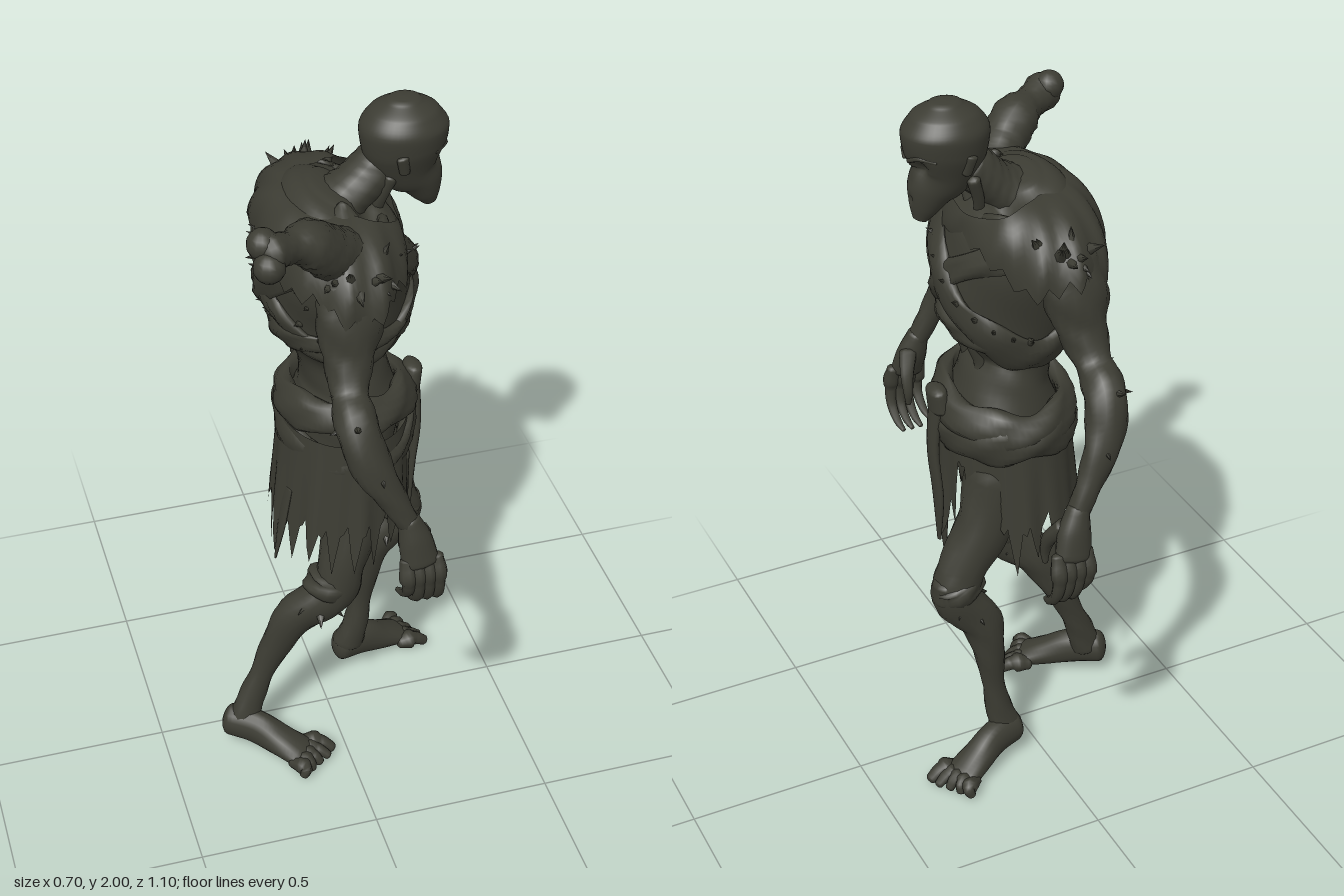
import * as THREE from 'three';

const hide = new THREE.MeshStandardMaterial({ color: 0x3c3c33, side: THREE.DoubleSide });
hide.name = 'dark olive hide';
const V = (x, y, z) => new THREE.Vector3(x, y, z);

export function createModel() {
  const model = new THREE.Group();
  model.name = 'witheredWalker';
  let seed = 7;
  const rnd = () => (seed = (seed * 16807) % 2147483647) / 2147483647;

  const add = (name, geometry, parent = model) => {
    const m = new THREE.Mesh(geometry, hide);
    m.name = name;
    parent.add(m);
    return m;
  };

  // Surface from a rule; either direction may be closed.
  function grid(nu, nv, fn, closeU, closeV) {
    const pos = [], idx = [];
    const cu = closeU ? nu : nu + 1, cv = closeV ? nv : nv + 1;
    for (let i = 0; i < cu; i++) for (let j = 0; j < cv; j++) pos.push(...fn(i / nu, j / nv, i).toArray());
    for (let i = 0; i < nu; i++) for (let j = 0; j < nv; j++) {
      const a = i * cv + j, b = i * cv + (j + 1) % cv;
      const c = ((i + 1) % cu) * cv + (j + 1) % cv, d = ((i + 1) % cu) * cv + j;
      idx.push(a, b, c, a, c, d);
    }
    const g = new THREE.BufferGeometry();
    g.setAttribute('position', new THREE.Float32BufferAttribute(pos, 3));
    g.setIndex(idx);
    g.computeVertexNormals();
    return g;
  }

  // Round-ended sweep through points [x, y, z, radius, second radius].
  function limb(name, pts, { ref = V(1, 0, 0), sides = 16, lump = 0, cap = 0.6, parent = model, deform } = {}) {
    const path = new THREE.CatmullRomCurve3(pts.map(p => V(p[0], p[1], p[2])));
    const radii = new THREE.CatmullRomCurve3(pts.map(p => V(p[3], p[4] ?? p[3], 0)));
    const n = (pts.length - 1) * 6, caps = 4, total = n + caps * 2;
    return add(name, grid(total, sides, (u, v, i) => {
      const k = THREE.MathUtils.clamp(i - caps, 0, n) / n;
      const over = i < caps ? i - caps : Math.max(0, i - caps - n);
      const t = path.getTangent(k), r = radii.getPoint(k);
      const a = ref.clone().addScaledVector(t, -ref.dot(t)).normalize();
      const b = t.clone().cross(a), turn = over / caps * Math.PI / 2;
      const w = v * Math.PI * 2, s = Math.cos(turn) * (1 + lump * Math.sin(3 * w + k * 17) * Math.sin(k * 23 + w));
      const p = path.getPoint(k).addScaledVector(t, Math.sin(turn) * Math.min(r.x, r.y) * cap)
        .addScaledVector(a, Math.cos(w) * r.x * s).addScaledVector(b, Math.sin(w) * r.y * s);
      if (deform) deform(p);
      return p;
    }, false, true), parent);
  }

  function thorn(p, dir, size, parent = model) {
    const m = add('thorn', new THREE.ConeGeometry(size * 0.32, size, 6), parent);
    m.position.copy(p);
    m.quaternion.setFromUnitVectors(V(0, 1, 0), dir.clone().normalize());
  }
  const falloff = (p, x, y, z, size) => Math.exp(-p.distanceToSquared(V(x, y, z)) / (size * size));

  // Torso: height, centre x, depth radius, width radius
  const profile = [
    [1.0, 0.045, 0.13, 0.17], [1.1, 0.05, 0.145, 0.17], [1.2, 0.045, 0.12, 0.145], [1.27, 0.03, 0.11, 0.13],
    [1.35, 0.03, 0.155, 0.17], [1.48, 0.025, 0.19, 0.2], [1.6, 0.012, 0.18, 0.24],
    [1.68, 0, 0.155, 0.255], [1.735, 0, 0.11, 0.18], [1.765, 0.01, 0.06, 0.1],
  ];
  limb('torso', profile.map(([y, x, rx, rz]) => [x, y, 0, rx, rz]), {
    sides: 40, lump: 0.03, cap: 0.2, deform: p => {
      for (const s of [-1, 1]) p.y -= 0.035 * falloff(p, 0.09, 1.73, s * 0.1, 0.04);
    },
  });
  const section = y => {
    let i = 0;
    while (i < profile.length - 2 && profile[i + 1][0] < y) i++;
    const a = profile[i], b = profile[i + 1], k = THREE.MathUtils.clamp((y - a[0]) / (b[0] - a[0]), 0, 1);
    return a.map((v, j) => v + (b[j] - v) * k);
  };
  const onBody = (y, w, out) => {
    const [, cx, rx, rz] = section(y);
    return V(cx + (rx + out) * Math.cos(w), y, (rz + out) * Math.sin(w));
  };

  // Cloth wraps that follow the torso
  const wrap = (name, y0, tilt, half, thick, out) => add(name, grid(72, 14, (u, v) => {
    const w = u * Math.PI * 2, f = v * Math.PI * 2;
    const y = y0 + tilt * Math.sin(w) + half * Math.sin(f) * (1 + 0.15 * Math.sin(5 * w));
    return onBody(y, w, out + thick * Math.cos(f) + 0.005 * Math.sin(7 * w + 3 * f));
  }, true, true));
  wrap('mainSash', 1.52, 0.19, 0.065, 0.018, 0.01);
  wrap('crossSash', 1.52, -0.17, 0.05, 0.013, 0.006);
  wrap('ribWrap', 1.38, 0.03, 0.035, 0.016, 0.006);
  wrap('upperBelt', 1.14, 0.025, 0.05, 0.026, 0.026);
  wrap('lowerBelt', 1.05, -0.035, 0.055, 0.024, 0.028);

  // Tattered shawl over both shoulders, open at the throat
  const zigzag = i => Math.abs(i % 4 - 2) / 2;
  add('shoulderShawl', grid(96, 10, (u, v, i) => {
    const w = u * Math.PI * 2, side = Math.abs(Math.sin(w)), throat = 0.95 * Math.max(0, Math.cos(w)) ** 2;
    const outer = (0.92 + 0.14 * zigzag(i) + 0.08 * Math.sin(5 * w)) * Math.PI / 2;
    const q = throat + (1 - v) * (outer - throat);
    const fold = 1 + 0.025 * Math.sin(11 * w + 3 * v);
    return V((0.095 + 0.09 * Math.sin(q)) * fold * Math.cos(w), 1.76 - (0.12 + 0.06 * side) * (1 - Math.cos(q)),
      (0.13 + 0.21 * Math.sin(q)) * fold * Math.sin(w));
  }, true, false));

  // Ragged skirt with a slit over the leading thigh
  const hem = [0.7, 0.72, 0.8, 0.78, 0.78, 0.77, 0.74, 0.74, 0.78, 0.78, 0.77, 0.82];
  const cols = 120, teeth = [];
  for (let i = 0; i < cols / 6; i++) {
    const long = 0.04 + 0.09 * rnd(), short = 0.05 * rnd();
    teeth.push(0.035, 0.02 - long * 0.4, 0.02 - long, 0.02 - long * 0.4, 0.035 + short, 0.01 + short);
  }
  add('raggedSkirt', grid(cols, 10, (u, v, i) => {
    const w = u * Math.PI * 2, h = u * 12, k = Math.floor(h) % 12;
    const low = hem[k] + (hem[(k + 1) % 12] - hem[k]) * (h % 1)
      + 0.18 * Math.exp(-(((u - 0.95) / 0.03) ** 2)) + teeth[i];
    const y = low + (1.1 - low) * v, d = (1.1 - y) / 0.4;
    const fold = 1 + 0.035 * d * Math.sin(9 * w) + 0.02 * d * Math.sin(17 * w);
    return V(0.04 - 0.015 * d + (0.17 + 0.02 * d) * fold * Math.cos(w), y, 0.012 + (0.205 + 0.03 * d) * fold * Math.sin(w));
  }, true, false));
  limb('beltKnot', [[0.225, 1.13, 0.01, 0.03, 0.045], [0.235, 1.18, 0.01, 0.025, 0.04]]);
  limb('hangingStrip', [[0.235, 1.15, 0.01, 0.018, 0.03], [0.245, 1.0, 0.015, 0.014, 0.026],
    [0.235, 0.85, 0.01, 0.012, 0.026], [0.23, 0.7, 0.02, 0.005, 0.008]]);
  limb('longTatter', [[0.2, 0.95, 0.05, 0.01, 0.05], [0.2, 0.78, 0.06, 0.008, 0.035], [0.19, 0.61, 0.07, 0.004, 0.006]]);
  limb('backTatter', [[-0.13, 0.9, 0.07, 0.008, 0.04], [-0.15, 0.78, 0.08, 0.008, 0.025], [-0.17, 0.66, 0.08, 0.003, 0.005]]);

  // Neck and head, with sunken eyes and nose
  limb('neck', [[0.01, 1.71, 0, 0.07, 0.1], [0.075, 1.76, 0, 0.06, 0.07], [0.14, 1.82, 0, 0.06, 0.062]], { lump: 0.06, cap: 0.2 });
  const hollow = (p, x, y, z, size, depth) => {
    if (p.x > 0.2) p.x -= depth * falloff(p, x, y, z, size);
  };
  limb('head', [[0.268, 1.692, 0.01, 0.02, 0.02], [0.258, 1.72, 0.01, 0.038, 0.036], [0.24, 1.765, 0.01, 0.062, 0.055],
    [0.212, 1.81, 0.01, 0.088, 0.072], [0.198, 1.87, 0.01, 0.109, 0.094], [0.195, 1.92, 0.01, 0.114, 0.1],
    [0.195, 1.965, 0.01, 0.087, 0.078], [0.195, 1.99, 0.01, 0.045, 0.04]], {
    sides: 48, cap: 0.25, deform: p => {
      for (const s of [-1, 1]) hollow(p, 0.29, 1.845, 0.01 + s * 0.038, 0.02, 0.022);
      hollow(p, 0.298, 1.8, 0.01, 0.01, 0.008);
      hollow(p, 0.295, 1.75, 0.01, 0.01, 0.01);
    },
  });
  for (const s of [-1, 1]) {
    limb('brow', [[0.3, 1.862, 0.01 + s * 0.012, 0.006], [0.287, 1.877, 0.01 + s * 0.045, 0.007], [0.255, 1.872, 0.01 + s * 0.075, 0.005]], { ref: V(0, 1, 0), sides: 8 });
    limb('ear', [[0.175, 1.83, 0.01 + s * 0.08, 0.014, 0.01], [0.165, 1.875, 0.01 + s * 0.092, 0.016, 0.009]], { sides: 8 });
    limb('neckTendon', [[0.15, 1.8, s * 0.055, 0.018], [0.13, 1.74, s * 0.04, 0.016], [0.12, 1.68, s * 0.02, 0.014]], { sides: 8 });
    limb('collarbone', [[0.13, 1.675, s * 0.03, 0.014], [0.11, 1.71, s * 0.12, 0.015], [0.05, 1.7, s * 0.2, 0.016]], { ref: V(0, 1, 0), sides: 8 });
    limb('abdominal', [[0.145, 1.33, s * 0.04, 0.025], [0.125, 1.26, s * 0.04, 0.022], [0.145, 1.18, s * 0.035, 0.02]], { sides: 10 });
  }

  // Bone jutting from the back shoulder
  limb('boneShaft', [[-0.02, 1.69, 0.2, 0.07], [-0.07, 1.735, 0.235, 0.066], [-0.125, 1.785, 0.265, 0.062],
    [-0.18, 1.8, 0.295, 0.042], [-0.235, 1.812, 0.325, 0.052]], { ref: V(0, 1, 0), lump: 0.08 });
  for (const [x, y, z] of [[-0.245, 1.832, 0.31], [-0.24, 1.79, 0.35]])
    add('boneKnob', new THREE.SphereGeometry(0.04, 14, 10)).position.set(x, y, z);

  // Arms with curled hands, one on each side
  for (const s of [-1, 1]) {
    const arm = new THREE.Group();
    arm.name = s > 0 ? 'rightArm' : 'leftArm';
    model.add(arm);
    const part = (name, pts, o = {}) => limb(name, pts.map(([x, y, z, ...r]) => [x, y, z * s, ...r]), { parent: arm, ...o });
    part('armMuscle', [[-0.01, 1.64, 0.25, 0.078, 0.066], [-0.02, 1.56, 0.275, 0.082, 0.066], [-0.03, 1.46, 0.298, 0.066, 0.052],
      [-0.04, 1.38, 0.345, 0.05, 0.042], [-0.04, 1.325, 0.405, 0.058, 0.056], [-0.015, 1.23, 0.455, 0.054, 0.044],
      [0.035, 1.13, 0.478, 0.036, 0.034], [0.075, 1.05, 0.488, 0.028, 0.03]], { lump: 0.1, cap: 0.3 });
    part('palm', [[0.075, 1.06, 0.488, 0.03, 0.03], [0.09, 1.0, 0.5, 0.045, 0.034], [0.1, 0.94, 0.515, 0.05, 0.028]]);
    for (let i = 0; i < 4; i++) {
      const x = 0.062 + i * 0.027, d = i === 0 ? 0.02 : 0;
      part('finger', [[x, 0.95, 0.515, 0.018], [x + 0.003, 0.885, 0.53, 0.018], [x + 0.006, 0.83 + d, 0.517, 0.015],
        [x + 0.005, 0.795 + d, 0.48, 0.012], [x, 0.78 + d, 0.45, 0.007]], { sides: 8 });
    }
    part('thumb', [[0.11, 1.01, 0.48, 0.026], [0.13, 0.965, 0.445, 0.02], [0.135, 0.92, 0.428, 0.015], [0.135, 0.88, 0.428, 0.008]], { sides: 8 });
    for (const [x, y, z, dx, dy, dz, size] of [[-0.05, 1.345, 0.45, -0.3, 0.4, 1, 0.07], [-0.03, 1.29, 0.46, 0, -0.3, 1, 0.05],
      [-0.09, 1.32, 0.41, -1, -0.2, 0.3, 0.05], [0, 1.21, 0.495, 0, -0.4, 1, 0.05], [-0.075, 1.38, 0.35, -1, 0.3, 0, 0.04]])
      thorn(V(x, y, z * s), V(dx, dy, dz * s), size, arm);
    for (let i = 0; i < 11; i++) {
      const w = rnd() * Math.PI * 0.8 - 0.5, q = rnd() * 2 - 1;
      thorn(V(0.1 * q, 1.65 + 0.06 * Math.sin(w), s * (0.285 + 0.05 * Math.cos(w) - 0.06 * q * q)), V(q * 0.8, Math.sin(w), s * Math.cos(w)), 0.03 + 0.03 * rnd(), arm);
    }
  }

  // Legs: the right one trails, the left one leads
  const legs = {
    rightLeg: [[0.04, 0.95, 0.105, 0.09, 0.085], [0.035, 0.8, 0.125, 0.075, 0.072], [0.0, 0.66, 0.145, 0.064, 0.064], [-0.025, 0.56, 0.145, 0.066, 0.058],
      [-0.12, 0.47, 0.115, 0.064, 0.05], [-0.175, 0.36, 0.098, 0.048, 0.038], [-0.222, 0.25, 0.095, 0.036, 0.03], [-0.255, 0.17, 0.1, 0.04, 0.034], [-0.278, 0.1, 0.105, 0.045, 0.04]],
    leftLeg: [[0.1, 0.95, -0.09, 0.09, 0.085], [0.15, 0.8, -0.1, 0.076, 0.07], [0.22, 0.67, -0.1, 0.066, 0.062], [0.24, 0.59, -0.105, 0.066, 0.056],
      [0.17, 0.49, -0.112, 0.062, 0.052], [0.148, 0.38, -0.118, 0.046, 0.042], [0.135, 0.26, -0.12, 0.033, 0.03], [0.12, 0.17, -0.12, 0.038, 0.036], [0.1, 0.1, -0.125, 0.045, 0.04]],
  };
  for (const [name, pts] of Object.entries(legs)) {
    const leg = new THREE.Group(), s = name === 'rightLeg' ? 1 : -1;
    leg.name = name;
    model.add(leg);
    limb('legMuscle', pts, { lump: 0.08, cap: 0.3, parent: leg });
    const [kx, ky, kz] = pts[3], heel = s > 0 ? V(-0.312, 0, 0.09) : V(0.08, 0, -0.125);
    limb('kneeCap', [[kx + 0.035, ky + 0.05, kz, 0.03, 0.04], [kx + 0.035, ky, kz, 0.03, 0.038]], { parent: leg });
    limb('kneeRag', [[kx, ky + 0.05, kz, 0.068, 0.064], [kx - 0.015, ky + 0.01, kz, 0.07, 0.062]], { lump: 0.1, cap: 0.3, parent: leg });
    for (let i = 0; i < 7; i++) {
      const w = i * 0.9, d = V(Math.cos(w), -0.5, Math.sin(w));
      thorn(V(kx - 0.035 + 0.06 * d.x, ky - 0.03 - 0.015 * (i % 3), kz + 0.05 * d.z), d, 0.05, leg);
    }
    // Foot frame: f runs to the toes, o to the outside
    const yaw = s > 0 ? 0.6 : 0.3, stretch = s > 0 ? 1.08 : 1;
    const f = V(Math.cos(yaw), 0, s * Math.sin(yaw)), o = V(-Math.sin(yaw), 0, s * Math.cos(yaw));
    const at = (along, out, y, ...r) => [heel.x + f.x * along * stretch + o.x * out, y, heel.z + f.z * along * stretch + o.z * out, ...r];
    const up = { ref: V(0, 1, 0), parent: leg };
    limb('foot', [at(0, 0, 0.092, 0.052, 0.04), at(0.07, 0, 0.085, 0.054, 0.04), at(0.14, 0.005, 0.058, 0.042, 0.048), at(0.205, 0.01, 0.034, 0.028, 0.056)], up);
    for (let i = 0; i < 5; i++) {
      const q = (i - 2) * 0.026 + 0.01, len = 0.265 - Math.max(0, i - 1) * 0.012, r = i === 0 ? 0.021 : 0.017;
      limb('toe', [at(0.19, q * 0.85, 0.032, r), at(0.232, q * 1.1, 0.035, r), at(len, q * 1.25, 0.016, r * 0.75)], { ...up, sides: 8 });
    }
  }

  // Thorns along the back and upper sash
  for (let i = 0; i < 46; i++) {
    const y = 1.36 + 0.36 * rnd(), w = Math.PI * (0.55 + 0.9 * rnd());
    thorn(onBody(y, w, 0.01), V(Math.cos(w), 0.5 * rnd(), Math.sin(w)), 0.025 + 0.025 * rnd());
  }
  for (let i = 0; i < 12; i++) {
    const w = -1.4 + i * 0.25, y = 1.55 + 0.16 * Math.sin(w);
    thorn(onBody(y, w, 0.025), V(Math.cos(w), 0.6, Math.sin(w)), 0.035);
  }
  return model;
}
